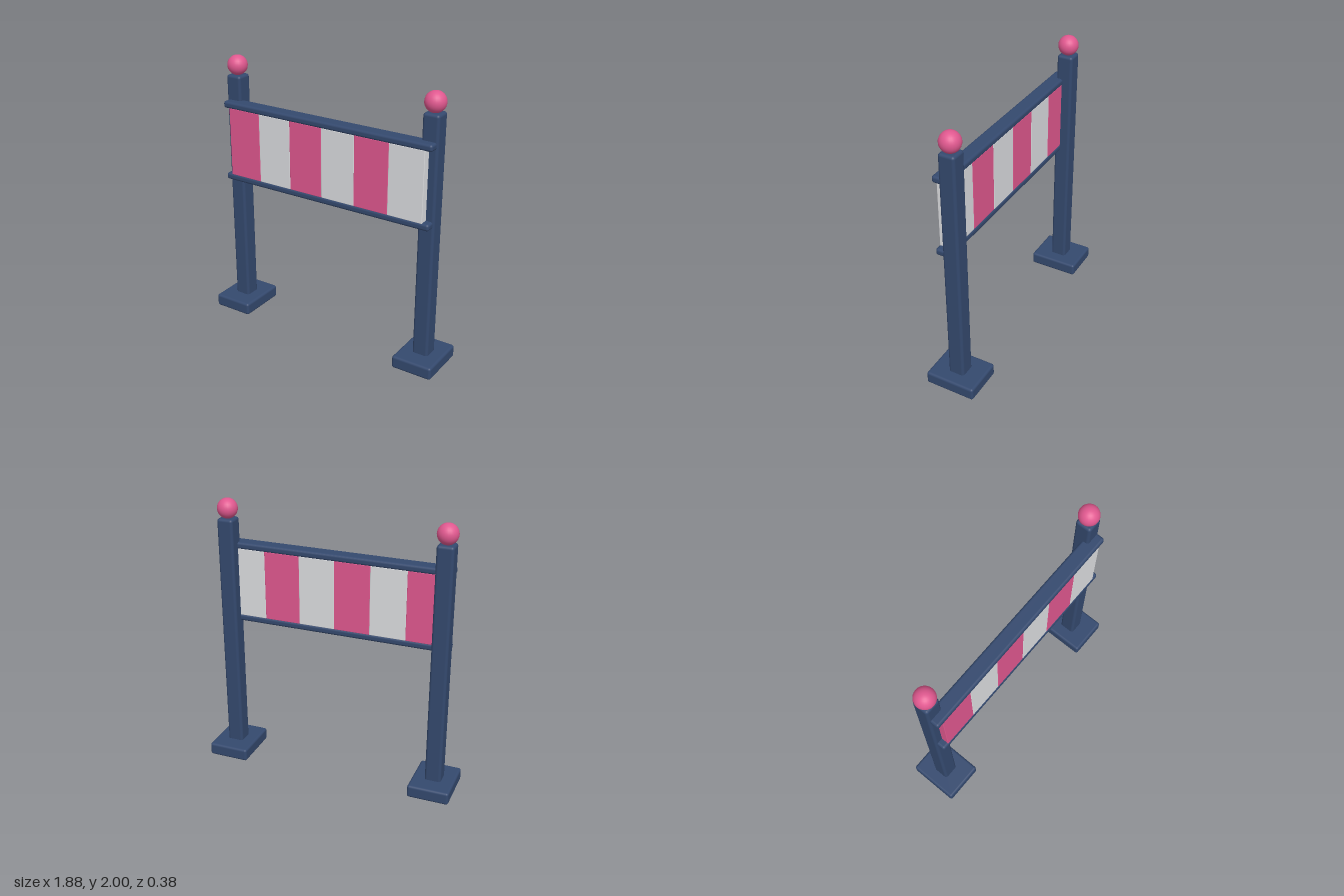
import * as THREE from 'three';
import { RoundedBoxGeometry } from 'three/addons/geometries/RoundedBoxGeometry.js';

export function createModel() {
  const model = new THREE.Group();
  model.name = 'barrier';
  const material = (name, color) => {
    const m = new THREE.MeshStandardMaterial({ color });
    m.name = name;
    return m;
  };
  const navy = material('navy', 0x34496e);
  const pink = material('pink', 0xe0588f);
  const white = material('white', 0xdcdde0);

  const add = (name, geometry, mat, x, y, z) => {
    const mesh = new THREE.Mesh(geometry, mat);
    mesh.name = name;
    mesh.position.set(x, y, z);
    model.add(mesh);
  };
  const rounded = (w, h, d, r) => new RoundedBoxGeometry(w, h, d, 3, r);

  // Feet, posts and ball finials on both sides
  for (const [side, x] of [['left', 0.79], ['right', -0.79]]) {
    add(side + 'Foot', rounded(0.305, 0.095, 0.375, 0.018), navy, x, 0.0475, 0);
    add(side + 'Post', rounded(0.12, 1.81, 0.12, 0.02), navy, x, 0.955, 0);
    add(side + 'Finial', new THREE.SphereGeometry(0.073, 24, 16), pink, x, 1.927, 0);
  }

  // Rails running across the front of the posts
  for (const [name, y] of [['bottomRail', 1.105], ['topRail', 1.655]]) {
    add(name, rounded(1.68, 0.05, 0.11, 0.018), navy, 0, y, 0.065);
  }

  // Six alternating panels between the rails
  const width = 1.58 / 6;
  for (let i = 0; i < 6; i++) {
    add('panel' + (i + 1), rounded(width, 0.51, 0.1, 0.004),
      i % 2 ? white : pink, (i - 2.5) * width, 1.38, 0.065);
  }
  return model;
}
